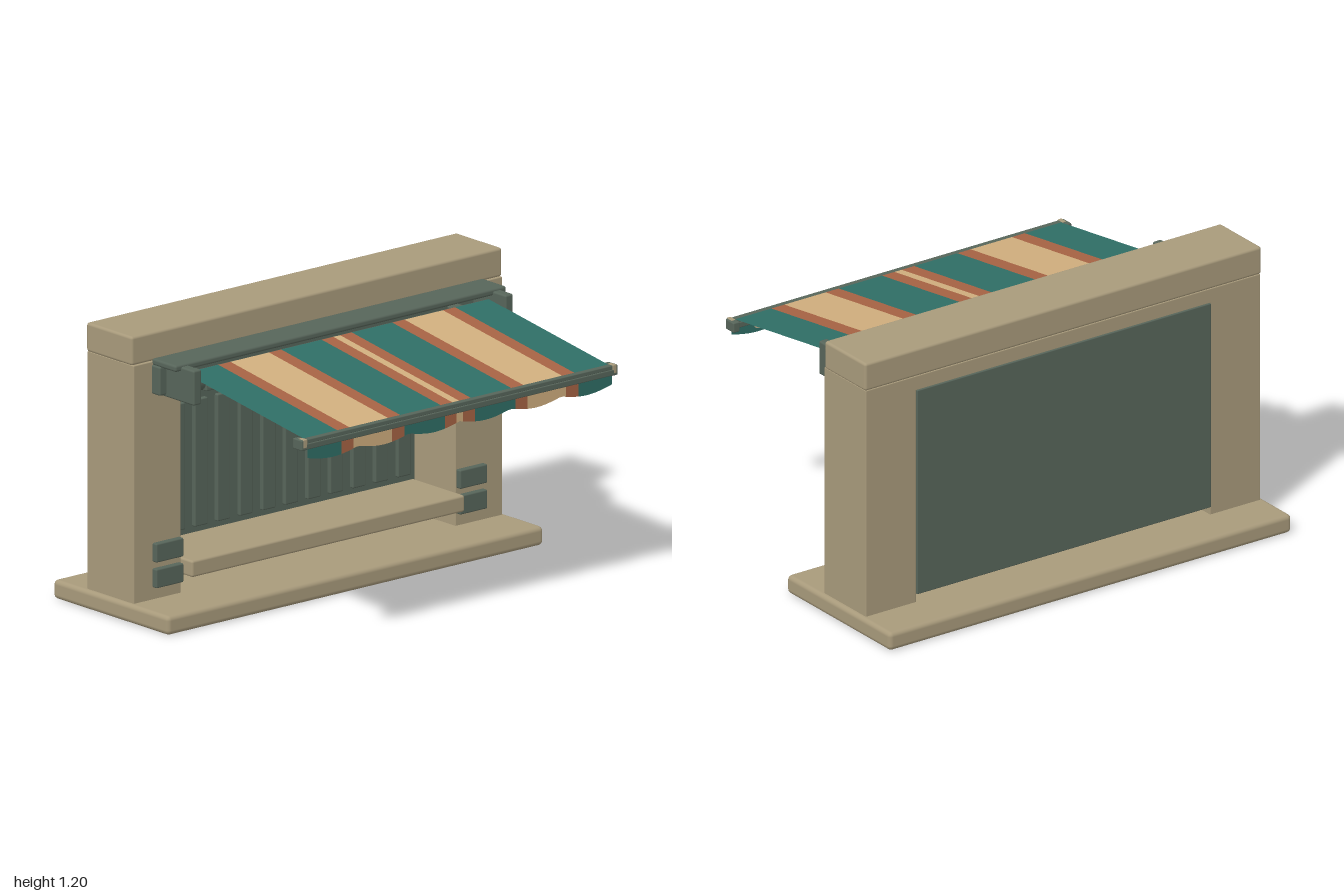
import * as THREE from 'three';
import { RoundedBoxGeometry } from 'three/addons/geometries/RoundedBoxGeometry.js';

const material = (name, color, side = THREE.FrontSide) => {
  const m = new THREE.MeshStandardMaterial({ color, side });
  m.name = name;
  return m;
};

export function createModel() {
  const group = new THREE.Group();
  const stone = material('stone', 0xa89a7b);
  const green = material('grey green metal', 0x57655a);
  const teal = material('teal canvas', 0x2f6e66, THREE.DoubleSide);
  const rust = material('rust canvas', 0xa66344, THREE.DoubleSide);
  const sand = material('sand canvas', 0xd0ae7e, THREE.DoubleSide);

  const add = (name, geometry, mat) => {
    const mesh = new THREE.Mesh(geometry, mat);
    mesh.name = name;
    group.add(mesh);
    return mesh;
  };
  // Rounded box given by its extents on each axis
  const box = (name, mat, [x0, x1], [y0, y1], [z0, z1], r = 0.006) => {
    const mesh = add(name, new RoundedBoxGeometry(x1 - x0, y1 - y0, z1 - z0, 2, r), mat);
    mesh.position.set((x0 + x1) / 2, (y0 + y1) / 2, (z0 + z1) / 2);
    return mesh;
  };
  // The same box on both sides
  const pair = (name, mat, [x0, x1], y, z, r) => {
    box(name + 'Left', mat, [x0, x1], y, z, r);
    box(name + 'Right', mat, [-x1, -x0], y, z, r);
  };
  // Round bar between two points
  const rod = (name, mat, a, b, r) => {
    const dir = b.clone().sub(a);
    const mesh = add(name, new THREE.CylinderGeometry(r, r, dir.length(), 16), mat);
    mesh.position.copy(a).add(b).multiplyScalar(0.5);
    mesh.quaternion.setFromUnitVectors(new THREE.Vector3(0, 1, 0), dir.normalize());
  };

  // Base and wall frame
  box('base', stone, [-1, 1], [0, 0.08], [-0.68, 0.035], 0.02);
  pair('pillar', stone, [0.73, 0.98], [0.075, 1.08], [-0.488, -0.2], 0.004);
  box('header', stone, [-0.74, 0.74], [1.015, 1.08], [-0.488, -0.2], 0.004);
  box('lintel', stone, [-0.985, 0.985], [1.078, 1.2], [-0.49, -0.207], 0.012);

  // Ribbed shutter at the back of the opening
  box('shutterPanel', green, [-0.73, 0.73], [0.115, 1.018], [-0.496, -0.45], 0.004);
  for (let i = 0; i < 12; i++) {
    const x = -0.66 + i * 0.12;
    box('shutterRib', green, [x - 0.035, x + 0.035], [0.25, 0.785], [-0.46, -0.432], 0.006);
  }

  // Counter and its side plates
  box('counter', stone, [-0.725, 0.725], [0.155, 0.225], [-0.455, -0.135], 0.01);
  for (const y of [[0.13, 0.21], [0.238, 0.317]]) {
    pair('sidePlate', green, [0.735, 0.88], y, [-0.205, -0.175], 0.006);
  }

  // Awning cassette
  box('cassetteCover', green, [-0.88, 0.88], [1.064, 1.092], [-0.207, -0.058], 0.01);
  box('cassetteBack', green, [-0.82, 0.82], [0.95, 1.07], [-0.207, -0.18]);
  pair('cassetteCheek', green, [0.808, 0.85], [0.935, 1.082], [-0.205, 0.02], 0.008);
  pair('wallBracket', green, [0.84, 0.885], [0.945, 1.067], [-0.205, -0.15], 0.008);
  rod('roller', green, new THREE.Vector3(-0.81, 1.0, -0.085), new THREE.Vector3(0.81, 1.0, -0.085), 0.042);

  // Striped canvas and scalloped valance
  const edges = [-0.81, -0.63, -0.565, -0.36, -0.295, -0.08, -0.018,
    0.018, 0.08, 0.295, 0.36, 0.565, 0.63, 0.81];
  const colours = [teal, rust, sand, rust, teal, rust, sand];
  const topZ = -0.085, topY = 1.044, endZ = 0.66, endY = 0.932;
  const length = Math.hypot(endZ - topZ, topY - endY);
  const pitch = Math.atan2(topY - endY, endZ - topZ);
  const hem = x => 0.856 - 0.02 * Math.abs(Math.sin(Math.PI * (x + 0.81) / 0.27));
  for (let i = 0; i < edges.length - 1; i++) {
    const a = edges[i], b = edges[i + 1];
    const mat = colours[i < 7 ? i : 12 - i];
    const cloth = add('canvasStripe', new THREE.PlaneGeometry(b - a, length), mat);
    cloth.rotation.x = pitch - Math.PI / 2;
    cloth.position.set((a + b) / 2, (topY + endY) / 2, (topZ + endZ) / 2);

    const shape = new THREE.Shape();
    shape.moveTo(a, 0.91);
    for (let k = 0; k <= 12; k++) {
      const x = a + (b - a) * k / 12;
      shape.lineTo(x, hem(x));
    }
    shape.lineTo(b, 0.91);
    add('valanceStripe', new THREE.ShapeGeometry(shape), mat).position.z = 0.677;
  }

  // Front bar with end caps
  box('frontBar', green, [-0.82, 0.82], [0.892, 0.917], [0.645, 0.68], 0.004);
  box('frontBarLip', green, [-0.82, 0.82], [0.915, 0.934], [0.65, 0.676], 0.004);
  pair('endCap', green, [0.808, 0.84], [0.89, 0.934], [0.62, 0.678], 0.005);
  pair('endCapInset', stone, [0.812, 0.832], [0.9, 0.936], [0.645, 0.68], 0.003);

  // Folding arms
  for (const s of [-1, 1]) {
    const shoulder = new THREE.Vector3(s * 0.7, 0.99, -0.04);
    const elbow = new THREE.Vector3(s * 0.5, 0.943, 0.31);
    const wrist = new THREE.Vector3(s * 0.7, 0.889, 0.645);
    rod('upperArm', stone, shoulder, elbow, 0.013);
    rod('forearm', green, elbow, wrist, 0.01);
    const up = new THREE.Vector3(0, 0.014, 0);
    for (const [name, p, mat, r] of [['shoulderJoint', shoulder, green, 0.022],
      ['elbowJoint', elbow, green, 0.018], ['wristJoint', wrist, stone, 0.016]]) {
      rod(name, mat, p.clone().sub(up), p.clone().add(up), r);
    }
    box('shoulderMount', green, [s * 0.7 - 0.03, s * 0.7 + 0.03], [0.96, 1.02], [-0.19, -0.04]);
  }
  return group;
}
